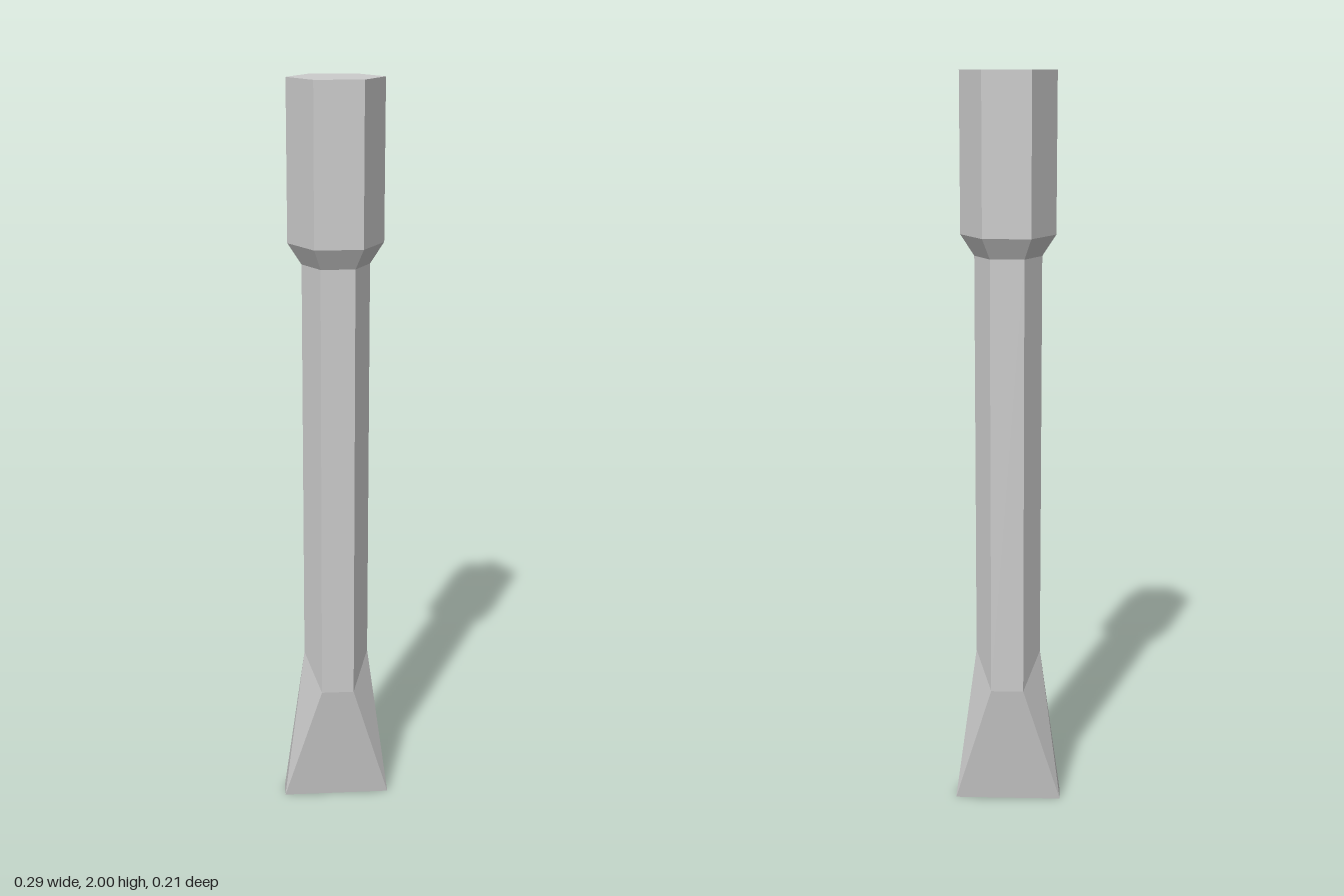
import * as THREE from 'three';

const SIDES = 6;

// Hexagonal cross-section; corners 0 and 3 (left and right) may sit at their own height
function hexRing(radius, y, sideY = y) {
  return Array.from({ length: SIDES }, (_, i) => {
    const a = (i * Math.PI) / 3;
    return new THREE.Vector3(radius * Math.cos(a), i % 3 === 0 ? sideY : y, radius * Math.sin(a));
  });
}

// Rectangular cutting edge with a midpoint on each short side, matching the hexagon's corners
function edgeRing(halfWidth, halfDepth, y) {
  return Array.from({ length: SIDES }, (_, i) => {
    const a = (i * Math.PI) / 3;
    const z = i % 3 === 0 ? 0 : Math.sign(Math.sin(a)) * halfDepth;
    return new THREE.Vector3(Math.sign(Math.cos(a)) * halfWidth, y, z);
  });
}

// Flat-faced skin between an upper and a lower cross-section, with optional caps
function loft(upper, lower, { capTop = false, capBottom = false } = {}) {
  const points = [];
  for (let i = 0; i < SIDES; i++) {
    const j = (i + 1) % SIDES;
    const [a, b, c, d] = [upper[i], upper[j], lower[j], lower[i]];
    // Folds always start from the left and right corners
    if (i % 3 === 2) points.push(a, b, d, b, c, d);
    else points.push(a, b, c, a, c, d);
  }
  for (let i = 1; i < SIDES - 1; i++) {
    if (capTop) points.push(upper[0], upper[i + 1], upper[i]);
    if (capBottom) points.push(lower[0], lower[i], lower[i + 1]);
  }
  const geometry = new THREE.BufferGeometry().setFromPoints(points);
  geometry.computeVertexNormals();
  return geometry;
}

export function createModel() {
  const group = new THREE.Group();
  group.name = 'chisel';
  const material = new THREE.MeshStandardMaterial({ color: 0xcccccc, flatShading: true });

  const add = (name, geometry) => {
    const mesh = new THREE.Mesh(geometry, material);
    mesh.name = name;
    group.add(mesh);
  };

  const headTop = hexRing(0.124, 2);
  const headBottom = hexRing(0.124, 1.59);
  const shaftTop = hexRing(0.088, 1.535);
  const shaftBottom = hexRing(0.088, 0.35, 0.44);
  const cuttingEdge = edgeRing(0.147, 0.025, 0);

  add('head', loft(headTop, headBottom, { capTop: true }));
  add('collar', loft(headBottom, shaftTop));
  add('shaft', loft(shaftTop, shaftBottom));
  add('blade', loft(shaftBottom, cuttingEdge, { capBottom: true }));

  return group;
}
